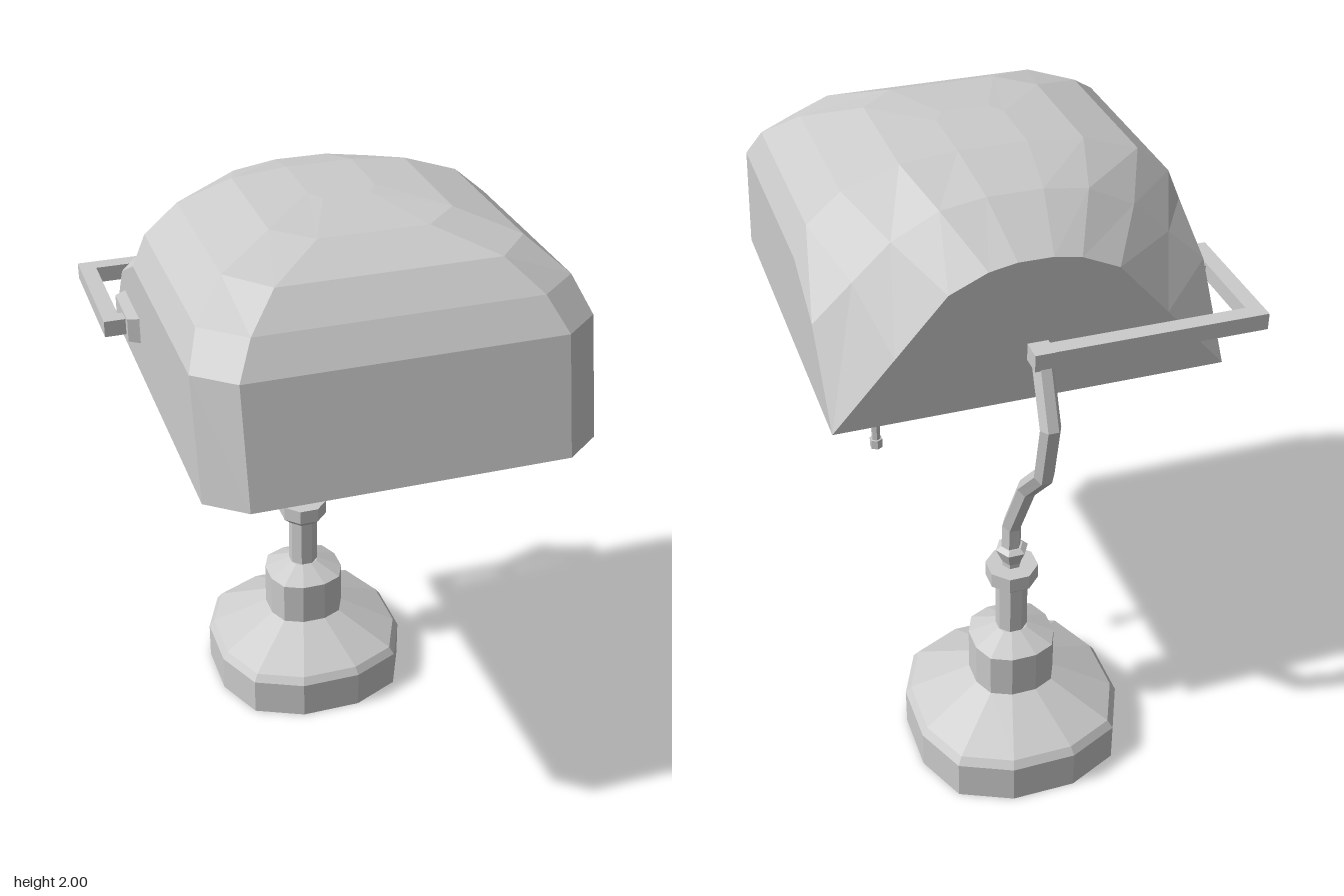
import * as THREE from 'three';

const material = new THREE.MeshStandardMaterial({ color: 0xcccccc, flatShading: true });
const V = (x, y, z) => new THREE.Vector3(x, y, z);

function part(name, geometry, parent, x = 0, y = 0, z = 0) {
  const mesh = new THREE.Mesh(geometry, material);
  mesh.name = name;
  mesh.position.set(x, y, z);
  parent.add(mesh);
  return mesh;
}

// Collects quads and turns them into a flat-shaded geometry
function quadBuilder() {
  const pos = [];
  return {
    quad(a, b, c, d) {
      for (const p of [a, b, c, a, c, d]) pos.push(p.x, p.y, p.z);
    },
    build() {
      const g = new THREE.BufferGeometry();
      g.setAttribute('position', new THREE.Float32BufferAttribute(pos, 3));
      g.computeVertexNormals();
      return g;
    },
  };
}

// Turned part: profile of [radius, height] pairs
function turned(profile, sides) {
  const pts = profile.map(([r, y]) => new THREE.Vector2(r, y));
  return new THREE.LatheGeometry(pts, sides, Math.PI / sides);
}

// Faceted tube through a polyline
function sweep(points, radius, sides, ref) {
  const rings = points.map((p, i) => {
    const t = points[Math.min(i + 1, points.length - 1)].clone()
      .sub(points[Math.max(i - 1, 0)]).normalize();
    const u = ref.clone().addScaledVector(t, -ref.dot(t)).normalize();
    const v = t.clone().cross(u);
    return Array.from({ length: sides }, (_, k) => {
      const a = (k / sides) * Math.PI * 2;
      return p.clone().addScaledVector(u, radius * Math.cos(a)).addScaledVector(v, radius * Math.sin(a));
    });
  });
  const q = quadBuilder();
  for (let i = 0; i + 1 < rings.length; i++)
    for (let k = 0; k < sides; k++) {
      const n = (k + 1) % sides;
      q.quad(rings[i][k], rings[i][n], rings[i + 1][n], rings[i + 1][k]);
    }
  return q.build();
}

// Shade: half cross-sections from back to front, each from rim to crown, mirrored in x
function shadeGeometry() {
  const Y = [1.405, 1.75, 1.845, 1.93, 1.985, 2.0];
  const X = [0.57, 0.57, 0.53, 0.43, 0.265, 0.1];
  const half = [
    [[0.57, 1.405], [0.57, 1.405], [0.39, 1.607], [0.24, 1.775], [0.13, 1.825], [0.05, 1.84]]
      .map(([x, y]) => V(x, y, -0.518)),
    [[0.57, 1.405], [0.57, 1.65], [0.455, 1.758], [0.345, 1.86], [0.21, 1.93], [0.08, 1.95]]
      .map(([x, y]) => V(x, y, -0.345)),
    X.map((x, k) => V(x, Y[k], -0.155)),
    [0.615, 0.535, 0.46, 0.35, 0.23, 0.05].map((z, k) => V(X[k], Y[k], z)),
    [[0.46, 0.7], [0.46, 0.625], [0.41, 0.56], [0.32, 0.47], [0.16, 0.33], [0.07, 0.1]]
      .map(([x, z], k) => V(x, Y[k], z)),
  ];
  const mirror = p => V(-p.x, p.y, p.z);
  const q = quadBuilder();

  // outer shell
  const full = half.map(r => [...r, ...r.map(mirror).reverse()]);
  for (let i = 0; i + 1 < full.length; i++)
    for (let j = 0; j + 1 < full[i].length; j++)
      q.quad(full[i][j], full[i][j + 1], full[i + 1][j + 1], full[i + 1][j]);

  // front panels and flat back wall
  const front = half[half.length - 1], back = half[0];
  for (let k = 0; k + 1 < front.length; k++) {
    q.quad(front[k], front[k + 1], mirror(front[k + 1]), mirror(front[k]));
    q.quad(mirror(back[k]), mirror(back[k + 1]), back[k + 1], back[k]);
  }

  // underside: rim, sloping recess walls and a flat ceiling with cut front corners
  const rim = half.map(r => r[0]);
  const opening = rim.map(p => V(p.x * 0.74, p.y, 0.0925 + (p.z - 0.0925) * 0.72));
  const ceiling = [[0.34, -0.25], [0.36, -0.18], [0.38, -0.1], [0.38, 0.16], [0.22, 0.36]]
    .map(([x, z]) => V(x, 1.52, z));
  const loops = [rim, opening, ceiling].map(s => [...s, ...s.map(mirror).reverse()]);
  for (let l = 0; l + 1 < loops.length; l++)
    loops[l].forEach((p, i) => {
      const j = (i + 1) % loops[l].length;
      q.quad(p, loops[l][j], loops[l + 1][j], loops[l + 1][i]);
    });
  for (let i = 0; i + 1 < ceiling.length; i++)
    q.quad(ceiling[i], ceiling[i + 1], mirror(ceiling[i + 1]), mirror(ceiling[i]));
  return q.build();
}

export function createModel() {
  const lamp = new THREE.Group();
  lamp.name = 'deskLamp';

  // Weighted foot, its twelve-sided outline squared off slightly
  const stand = new THREE.Group();
  stand.name = 'stand';
  stand.position.set(0.057, 0, -0.37);
  lamp.add(stand);
  const foot = turned([[0, 0], [0.343, 0], [0.343, 0.13], [0.325, 0.155], [0.135, 0.25],
    [0.135, 0.4], [0.05, 0.44], [0, 0.44]], 12);
  const fp = foot.attributes.position;
  for (let i = 0; i < fp.count; i++) {
    const x = fp.getX(i), z = fp.getZ(i), d = Math.abs(x) - Math.abs(z);
    const diagonal = Math.abs(d) < 1e-4;
    const sx = diagonal ? 1.07 : d < 0 ? 1.13 : 1;
    const sz = diagonal ? 1.07 : d > 0 ? 1.13 : 1;
    fp.setXYZ(i, x * sx, fp.getY(i), z * sz);
  }
  part('foot', foot, stand);

  // Pole, collar and socket
  part('pole', turned([[0.05, 0.43], [0.05, 0.62]], 8), stand);
  part('collar', turned([[0, 0.61], [0.055, 0.61], [0.082, 0.635], [0.082, 0.685], [0, 0.685]], 8), stand);
  part('socket', turned([[0.03, 0.68], [0.03, 0.7], [0.052, 0.75], [0.035, 0.762], [0, 0.762]], 6), stand);

  // Bent arm rising behind the shade
  part('arm', sweep([V(0.06, 0.74, -0.37), V(0.058, 0.84, -0.37), V(0.04, 1.04, -0.455),
    V(0.038, 1.18, -0.587), V(0.038, 1.37, -0.628), V(0.038, 1.55, -0.55)], 0.031, 6, V(1, 0, 0)), lamp);

  // Side bracket reaching round to the shade
  const bracket = new THREE.Group();
  bracket.name = 'bracket';
  lamp.add(bracket);
  part('armJoint', new THREE.BoxGeometry(0.06, 0.052, 0.065), bracket, 0.04, 1.56, -0.552);
  part('backBar', new THREE.BoxGeometry(0.64, 0.05, 0.05), bracket, -0.29, 1.56, -0.557);
  part('sideBar', new THREE.BoxGeometry(0.05, 0.05, 0.43), bracket, -0.595, 1.56, -0.367);
  part('bracketPin', new THREE.BoxGeometry(0.04, 0.05, 0.045), bracket, -0.56, 1.56, -0.175);
  // Mounting plate with tapered ends
  const plate = new THREE.BoxGeometry(0.035, 0.08, 0.205);
  const pp = plate.attributes.position;
  for (let i = 0; i < pp.count; i++)
    if (pp.getX(i) < 0) pp.setXYZ(i, pp.getX(i), pp.getY(i) * 0.9, pp.getZ(i) * 0.85);
  part('mountingPlate', plate, bracket, -0.5375, 1.56, -0.212);

  // Shade and pull cord
  part('shade', shadeGeometry(), lamp, 0.0485);
  part('pullCord', new THREE.CylinderGeometry(0.014, 0.014, 0.47, 6), lamp, 0.403, 1.275, -0.093);
  part('pullKnob', new THREE.CylinderGeometry(0.02, 0.02, 0.03, 6), lamp, 0.403, 1.037, -0.093);

  return lamp;
}
